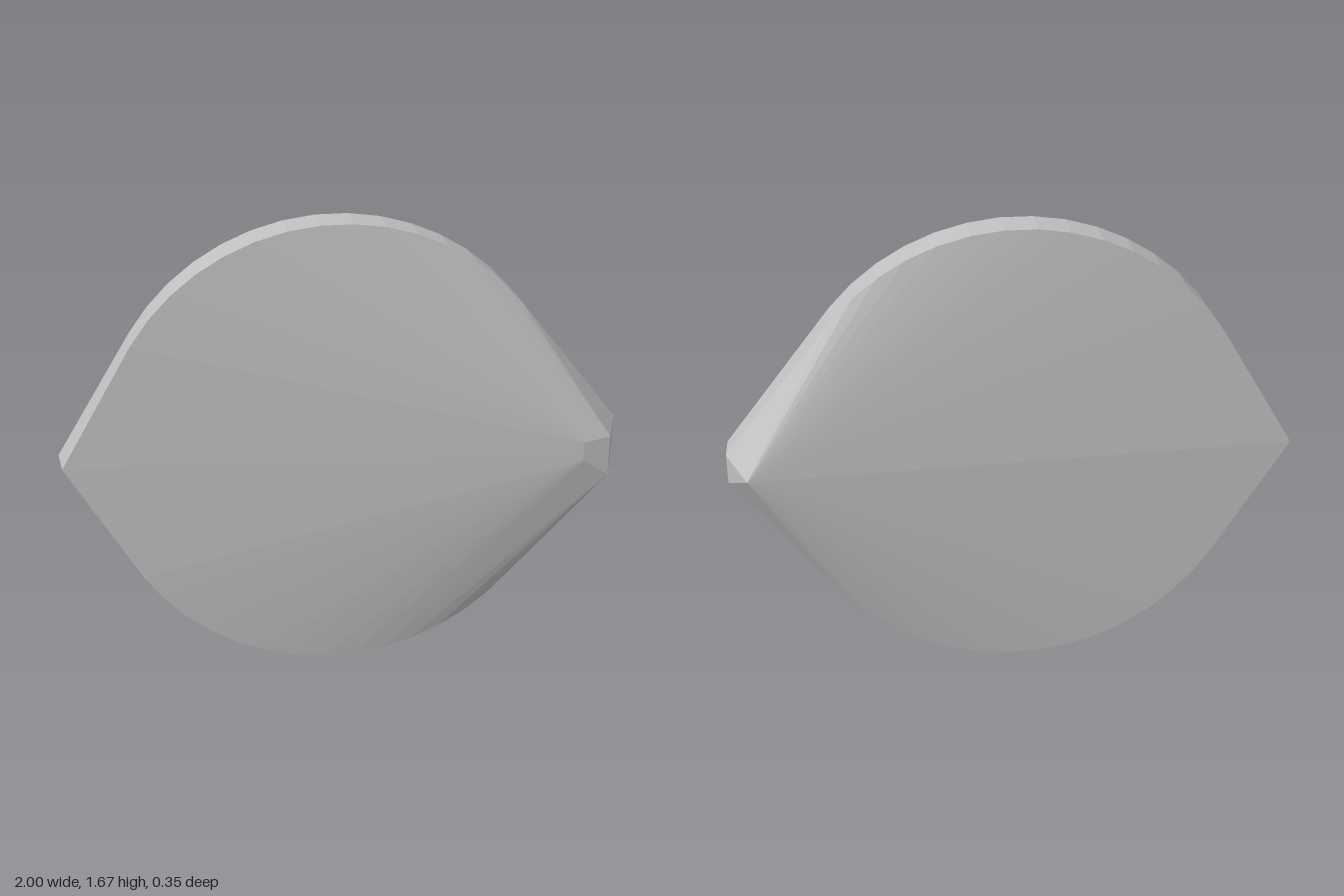
import * as THREE from 'three';
import { ConvexGeometry } from 'three/addons/geometries/ConvexGeometry.js';

const MID = 0.835; // height of the disc's centre, and its radius

// Points along the upper and lower arcs of the disc at depth z
function discRim(z, steps = 14) {
  const points = [];
  const start = THREE.MathUtils.degToRad(40);
  const end = THREE.MathUtils.degToRad(148);
  for (let i = 0; i <= steps; i++) {
    const a = start + (end - start) * i / steps;
    for (const side of [1, -1]) {
      points.push(new THREE.Vector3(-0.02 + MID * Math.cos(a), MID + side * MID * Math.sin(a), z));
    }
  }
  return points;
}

export function createModel() {
  const group = new THREE.Group();
  const grey = new THREE.MeshStandardMaterial({ color: 0xc0c0c0 });
  grey.name = 'grey';
  const v = (x, y, z) => new THREE.Vector3(x, y, z);

  const points = [
    ...discRim(0.055),
    ...discRim(-0.085),
    // pointed left edge
    v(-0.985, MID, 0.04), v(-1, MID, -0.085),
    // blunt right end
    v(1, 0.9, 0.02), v(1, 0.79, 0.02),
    v(1, 0.9, -0.085), v(1, 0.79, -0.085),
    // front ridge
    v(0.945, 0.88, 0.155), v(0.945, 0.73, 0.155),
    v(0.845, 0.87, 0.172), v(0.845, 0.8, 0.172),
    // back peak
    v(0.93, MID, -0.175),
  ];

  const body = new THREE.Mesh(new ConvexGeometry(points), grey);
  body.name = 'facetedBody';
  group.add(body);
  return group;
}
